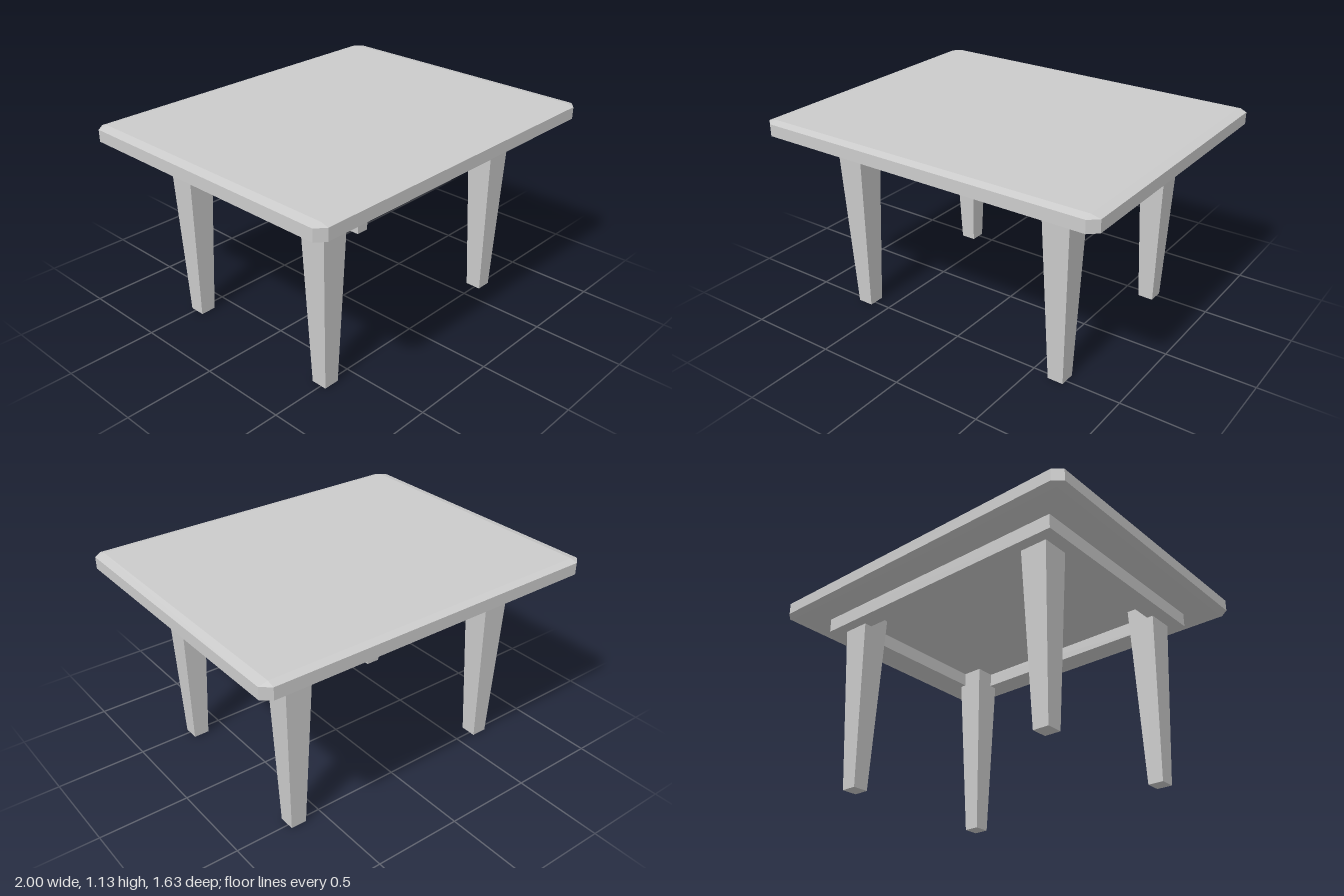
import * as THREE from 'three';
import { ConvexGeometry } from 'three/addons/geometries/ConvexGeometry.js';

const material = new THREE.MeshStandardMaterial({ color: 0xcccccc, flatShading: true });

function part(name, geometry) {
  const mesh = new THREE.Mesh(geometry, material);
  mesh.name = name;
  return mesh;
}

// Slab with a shallow bevel on every edge: each corner has one point per face
function beveledSlab(x, z, yLow, yHigh, bevelX, bevelY, bevelZ) {
  const points = [];
  for (const sx of [-1, 1]) for (const sz of [-1, 1]) for (const sy of [-1, 1]) {
    const yFace = sy < 0 ? yLow : yHigh;
    const ySide = yFace - sy * bevelY;
    points.push(
      new THREE.Vector3(sx * (x - bevelX), yFace, sz * (z - bevelZ)),
      new THREE.Vector3(sx * x, ySide, sz * (z - bevelZ)),
      new THREE.Vector3(sx * (x - bevelX), ySide, sz * z)
    );
  }
  return new ConvexGeometry(points);
}

// Open rectangular frame standing on y = 0
function frame(x, z, thickness, height) {
  const rectangle = (Type, w, d) => new Type([
    new THREE.Vector2(-w, -d), new THREE.Vector2(w, -d),
    new THREE.Vector2(w, d), new THREE.Vector2(-w, d)
  ]);
  const shape = rectangle(THREE.Shape, x, z);
  shape.holes.push(rectangle(THREE.Path, x - thickness, z - thickness));
  return new THREE.ExtrudeGeometry(shape, { depth: height, bevelEnabled: false }).rotateX(-Math.PI / 2);
}

// Square post narrowing towards the floor
function taperedLeg(height, topX, topZ, footX, footZ) {
  const geometry = new THREE.BoxGeometry(topX, height, topZ).translate(0, height / 2, 0);
  const p = geometry.attributes.position;
  for (let i = 0; i < p.count; i++) {
    if (p.getY(i) < height / 2) {
      p.setX(i, p.getX(i) * footX / topX);
      p.setZ(i, p.getZ(i) * footZ / topZ);
    }
  }
  geometry.computeVertexNormals();
  return geometry;
}

export function createModel() {
  const table = new THREE.Group();
  table.name = 'table';

  table.add(part('tableTop', beveledSlab(1, 0.815, 1.04, 1.13, 0.05, 0.012, 0.042)));

  const apron = part('apron', frame(0.8, 0.63, 0.11, 0.085));
  apron.position.y = 0.96;
  table.add(apron);

  // Four legs running up to the underside of the top
  const legGeometry = taperedLeg(1.042, 0.162, 0.163, 0.089, 0.09);
  for (const [sz, end] of [[1, 'front'], [-1, 'back']]) {
    for (const [sx, side] of [[1, 'Left'], [-1, 'Right']]) {
      const leg = part(`${end}${side}Leg`, legGeometry);
      leg.position.set(sx * 0.648, 0, sz * 0.487);
      table.add(leg);
    }
  }
  return table;
}
